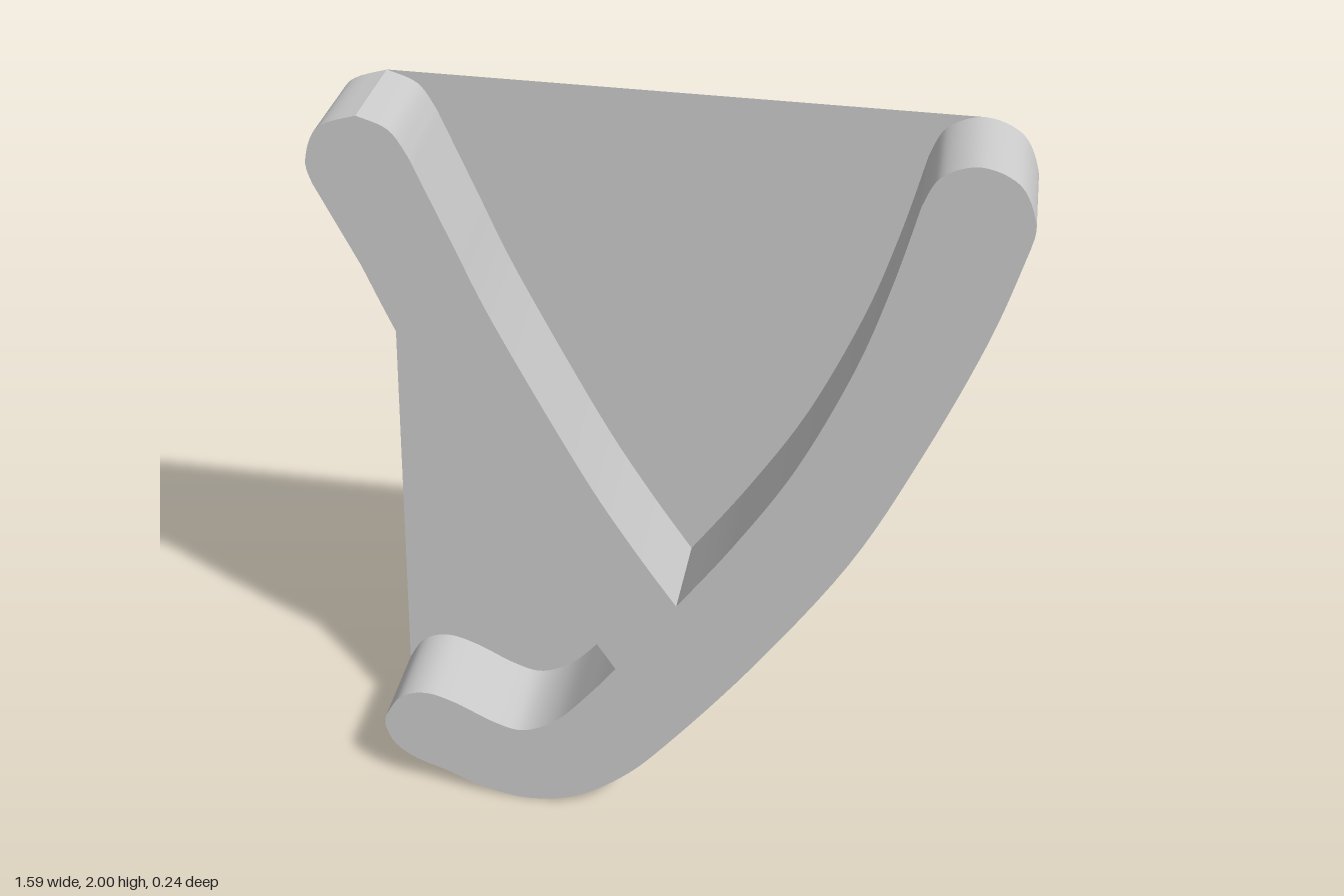
import * as THREE from 'three';
import { toCreasedNormals } from 'three/addons/utils/BufferGeometryUtils.js';

const HALF_DEPTH = 0.12;

// Smooth edges of the forked bar, counter-clockwise, each ending where the next begins
const rightTip = [[0.55, 1.89], [0.585, 1.96], [0.665, 1.99], [0.75, 1.955], [0.79, 1.87], [0.785, 1.81]];
const outerEdge = [[0.785, 1.81], [0.72, 1.575], [0.6, 1.256], [0.447, 0.917], [0.22, 0.555], [0, 0.255],
  [-0.12, 0.12], [-0.25, 0.03], [-0.38, 0.003], [-0.5, 0.025], [-0.6, 0.07], [-0.685, 0.105],
  [-0.738, 0.15], [-0.76, 0.21], [-0.755, 0.25]];
const hookTop = [[-0.755, 0.25], [-0.71, 0.32], [-0.64, 0.345], [-0.56, 0.322], [-0.46, 0.27],
  [-0.38, 0.252], [-0.29, 0.3], [-0.2, 0.405], [-0.127, 0.504]];
const leftArmLower = [[-0.127, 0.504], [-0.285, 0.77], [-0.426, 1.05], [-0.595, 1.394], [-0.693, 1.632]];
const leftArmUpper = [[-0.693, 1.632], [-0.786, 1.83]];
const leftTip = [[-0.786, 1.83], [-0.795, 1.885], [-0.76, 1.965], [-0.67, 2]];
const leftTipInner = [[-0.67, 2], [-0.6, 1.972], [-0.56, 1.91]];
const leftArmInner = [[-0.56, 1.91], [-0.48, 1.715], [-0.39, 1.5], [-0.2, 1.115], [-0.08, 0.905], [0.03, 0.732]];
const rightArmInner = [[0.03, 0.732], [0.17, 0.94], [0.31, 1.18], [0.43, 1.46], [0.5, 1.685], [0.55, 1.89]];

// Joins edges into one closed shape, smooth inside each edge and free to turn between them
function makeShape(edges) {
  const points = [];
  for (const edge of edges) {
    const curve = new THREE.SplineCurve(edge.map(([x, y]) => new THREE.Vector2(x, y)));
    const steps = edge.length > 2 ? (edge.length - 1) * 6 : 1;
    points.push(...curve.getPoints(steps).slice(0, -1));
  }
  return new THREE.Shape(points);
}

export function createModel() {
  const group = new THREE.Group();

  // Thick forked bar with a hooked foot
  const bar = new THREE.ExtrudeGeometry(
    makeShape([rightTip.slice().reverse(), rightArmInner.slice().reverse(), leftArmInner.slice().reverse(),
      leftTipInner.slice().reverse(), leftTip.slice().reverse(), leftArmUpper.slice().reverse(),
      leftArmLower.slice().reverse(), hookTop.slice().reverse(), outerEdge.slice().reverse()]),
    { depth: 2 * HALF_DEPTH, bevelEnabled: false });
  bar.translate(0, 0, -HALF_DEPTH);
  const forkedBar = new THREE.Mesh(toCreasedNormals(bar, Math.PI / 6),
    new THREE.MeshStandardMaterial({ color: 0xcccccc }));
  forkedBar.name = 'forkedBar';
  group.add(forkedBar);

  // Paper-thin back sheet spanning the gaps between the arms and the foot
  const sheet = new THREE.ShapeGeometry(makeShape([
    [[-0.755, 0.25], [-0.693, 1.632]], leftArmUpper, leftTip,
    [[-0.67, 2], [0.665, 1.99]], rightTip.slice(2), outerEdge]));
  sheet.translate(0, 0, -HALF_DEPTH);
  const backSheet = new THREE.Mesh(sheet,
    new THREE.MeshStandardMaterial({ color: 0xcccccc, side: THREE.DoubleSide }));
  backSheet.name = 'backSheet';
  group.add(backSheet);

  return group;
}
